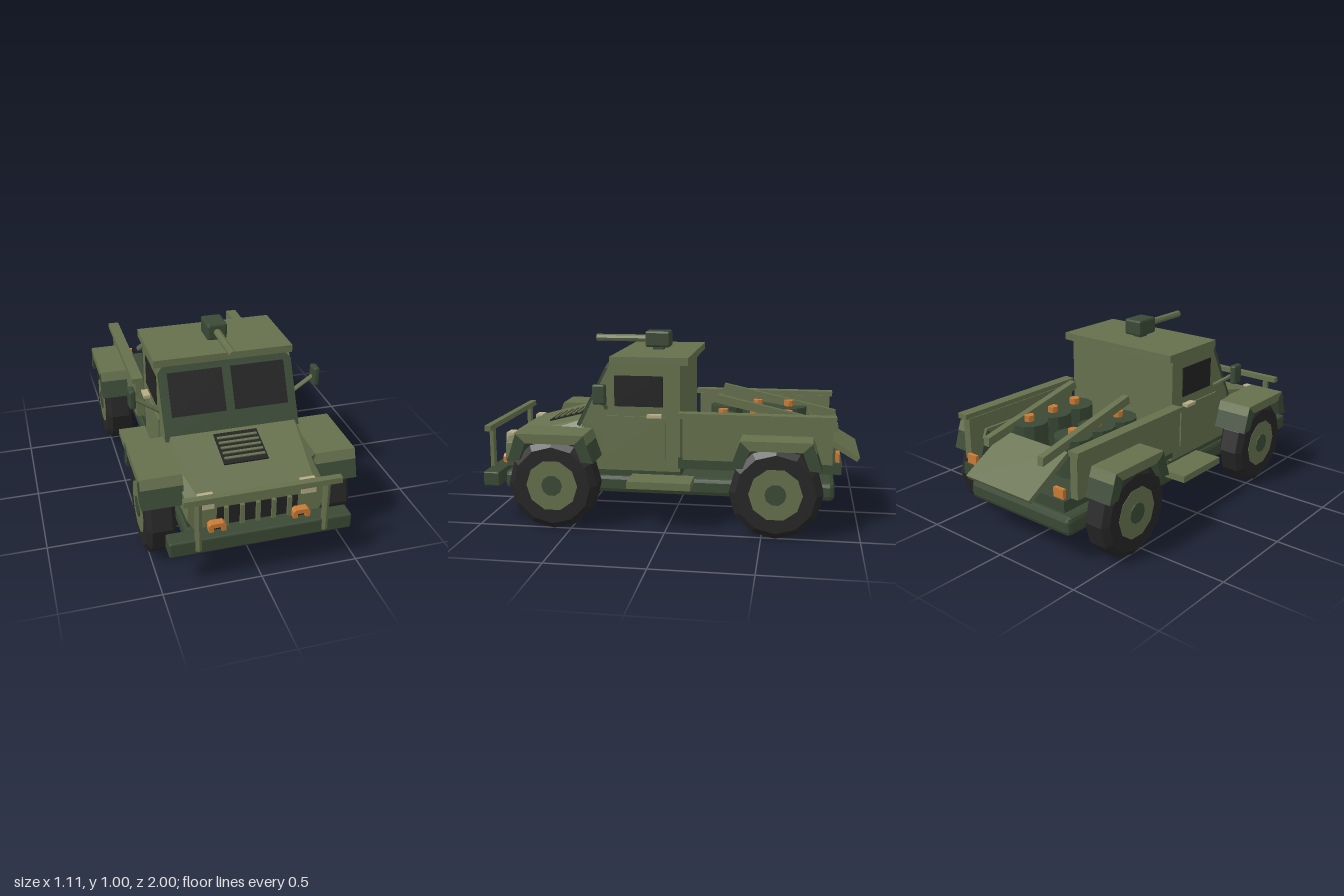
import * as THREE from 'three';
import { RoundedBoxGeometry } from 'three/addons/geometries/RoundedBoxGeometry.js';

export function createModel() {
  const model = new THREE.Group();
  model.name = 'armedPickup';

  const paint = (name, color, side = THREE.FrontSide) =>
    Object.assign(new THREE.MeshStandardMaterial({ color, flatShading: true, side }), { name });
  const olive = paint('olive', 0x66704d);
  const dark = paint('darkGreen', 0x3a4935);
  const black = paint('glassBlack', 0x232324);
  const rubber = paint('rubber', 0x262626);
  const orange = paint('orange', 0xc87a34);
  const cream = paint('cream', 0xb5ad86);

  const add = (name, geo, mat, x = 0, y = 0, z = 0, parent = model) => {
    const m = new THREE.Mesh(geo, mat);
    m.name = name;
    m.position.set(x, y, z);
    parent.add(m);
    return m;
  };
  // Box given by its limits on each axis, optionally with chamfered edges
  const box = (name, mat, x0, x1, y0, y1, z0, z1, chamfer = 0, parent = model) => {
    const s = [x1 - x0, y1 - y0, z1 - z0];
    const geo = chamfer ? new RoundedBoxGeometry(...s, 1, chamfer) : new THREE.BoxGeometry(...s);
    return add(name, geo, mat, (x0 + x1) / 2, (y0 + y1) / 2, (z0 + z1) / 2, parent);
  };
  // Side profile of [z, y] points, extruded across x
  const profile = (name, mat, pts, x0, x1) => {
    const shape = new THREE.Shape(pts.map((p) => new THREE.Vector2(...p)));
    const geo = new THREE.ExtrudeGeometry(shape, { depth: x1 - x0, bevelEnabled: false });
    return add(name, geo.rotateY(-Math.PI / 2).translate(x1, 0, 0), mat);
  };
  // Round rod between two points
  const rod = (name, mat, a, b, r, sides = 6) => {
    const p = new THREE.Vector3(...a), d = new THREE.Vector3(...b).sub(p);
    const m = add(name, new THREE.CylinderGeometry(r, r, d.length(), sides), mat);
    m.position.copy(p).addScaledVector(d, 0.5);
    m.quaternion.setFromUnitVectors(new THREE.Vector3(0, 1, 0), d.normalize());
    return m;
  };

  // Chassis, bumper and guard
  box('chassis', dark, -0.355, 0.355, 0.16, 0.26, -0.87, 0.91, 0.025);
  box('sill', dark, -0.34, 0.34, 0.25, 0.32, -0.06, 0.85);
  box('frontBumper', dark, -0.46, 0.46, 0.2, 0.28, 0.9, 0.99, 0.008);
  box('guardBar', olive, -0.39, 0.39, 0.485, 0.515, 0.965, 1.0);

  // Nose and hood: two chamfered cross-sections joined
  const section = (z, half) => [
    ...half.map(([x, y]) => [x, y, z]),
    ...[...half].reverse().map(([x, y]) => [-x, y, z]),
  ];
  const back = section(0.46, [[0.33, 0.28], [0.365, 0.34], [0.365, 0.5], [0.335, 0.56]]);
  const front = section(0.9, [[0.32, 0.28], [0.35, 0.33], [0.345, 0.41], [0.29, 0.445]]);
  const n = front.length, faces = [];
  for (let i = 0; i < n; i++) {
    const j = (i + 1) % n;
    faces.push(front[i], back[i], back[j], front[i], back[j], front[j]);
    if (i > 0 && i < n - 1) faces.push(front[0], front[i], front[j], back[0], back[j], back[i]);
  }
  const hoodGeo = new THREE.BufferGeometry();
  hoodGeo.setAttribute('position', new THREE.Float32BufferAttribute(faces.flat(), 3));
  hoodGeo.computeVertexNormals();
  add('hood', hoodGeo, olive);

  // Hood vent lying on the slope
  const vent = new THREE.Group();
  vent.name = 'hoodVent';
  vent.position.set(0, 0.5, 0.617);
  vent.position.y = 0.56 - (0.617 - 0.46) * (0.115 / 0.44) + 0.003;
  vent.rotation.x = Math.atan(0.115 / 0.44);
  model.add(vent);
  box('ventPanel', black, -0.115, 0.115, -0.004, 0.005, -0.105, 0.105, 0, vent);
  for (let i = 0; i < 5; i++) {
    const z = -0.07 + i * 0.035;
    box('ventSlat', olive, -0.105, 0.105, 0, 0.011, z - 0.007, z + 0.007, 0, vent);
  }

  // Grille
  box('grille', black, -0.205, 0.205, 0.285, 0.385, 0.898, 0.905);
  for (let i = -2; i <= 2; i++)
    box('grilleBar', olive, i * 0.08 - 0.011, i * 0.08 + 0.011, 0.28, 0.388, 0.9, 0.918);

  // Cab and roof
  profile('cab', olive, [[-0.06, 0.29], [0.47, 0.29], [0.47, 0.55], [0.305, 0.87], [-0.06, 0.87]], -0.355, 0.355);
  box('roof', olive, -0.372, 0.372, 0.86, 0.9, -0.105, 0.31);

  // Windscreen: dark frame with two panes
  const screen = new THREE.Group();
  screen.name = 'windscreen';
  screen.position.set(0, 0.55, 0.47);
  screen.rotation.x = -Math.atan(0.165 / 0.32);
  model.add(screen);
  const frame = new THREE.Shape(
    [[-0.355, -0.03], [0.355, -0.03], [0.355, 0.32], [0.33, 0.35], [-0.33, 0.35], [-0.355, 0.32]]
      .map((p) => new THREE.Vector2(...p)));
  add('windscreenFrame', new THREE.ExtrudeGeometry(frame, { depth: 0.02, bevelEnabled: false }), dark, 0, 0, -0.005, screen);
  for (const s of [-1, 1])
    add('windscreenPane', new THREE.BoxGeometry(0.287, 0.226, 0.008), black, s * 0.167, 0.203, 0.015, screen);

  // Roof gun
  box('gunHousing', dark, -0.055, 0.055, 0.915, 1.005, 0.04, 0.18, 0.012);
  box('gunMount', dark, -0.025, 0.025, 0.89, 0.93, 0.08, 0.14);
  rod('gunBarrel', olive, [0, 0.96, 0.17], [0, 0.96, 0.465], 0.02, 8);

  // Cargo bed and ramp
  box('bedFloor', dark, -0.358, 0.358, 0.31, 0.37, -0.9, -0.05);
  profile('ramp', olive, [[-1.0, 0.37], [-0.985, 0.348], [-0.73, 0.498], [-0.73, 0.53]], -0.225, 0.225);

  // Ring outline for a tow hook
  const hook = new THREE.Shape();
  [[-0.043, -0.03], [-0.03, -0.043], [0.03, -0.043], [0.043, -0.03], [0.043, 0.03], [0.03, 0.043], [-0.03, 0.043], [-0.043, 0.03]]
    .forEach(([x, y], i) => (i ? hook.lineTo(x, y) : hook.moveTo(x, y)));
  hook.holes.push(new THREE.Path([[-0.02, -0.02], [-0.02, 0.02], [0.02, 0.02], [0.02, -0.02]].map((p) => new THREE.Vector2(...p))));
  const hookGeo = new THREE.ExtrudeGeometry(hook, { depth: 0.04, bevelEnabled: false });

  // Tyre cross-section turned about the axle
  const tyreGeo = new THREE.LatheGeometry(
    [[0.1, -0.075], [0.205, -0.075], [0.238, -0.05], [0.238, 0.05], [0.205, 0.075], [0.1, 0.075]]
      .map((p) => new THREE.Vector2(...p)), 12).rotateZ(Math.PI / 2);
  const disc = (r, depth, sides) => new THREE.CylinderGeometry(r, r, depth, sides).rotateZ(Math.PI / 2);

  // Parts found on both sides
  for (const s of [-1, 1]) {
    const pair = (name, mat, a, b, ...rest) => box(name, mat, Math.min(s * a, s * b), Math.max(s * a, s * b), ...rest);
    const sideProfile = (name, mat, pts, a, b) => profile(name, mat, pts, Math.min(s * a, s * b), Math.max(s * a, s * b));

    rod('guardPost', olive, [s * 0.318, 0.22, 0.982], [s * 0.318, 0.5, 0.982], 0.018);
    pair('headlight', cream, 0.22, 0.297, 0.39, 0.46, 0.87, 0.912);
    add('towHook', hookGeo, orange, s * 0.213, 0.283, 0.91);
    pair('towHookCore', black, 0.19, 0.236, 0.26, 0.306, 0.9, 0.93);

    // Door, window, handle, step, mirror
    pair('door', olive, 0.35, 0.364, 0.355, 0.585, 0.015, 0.35);
    pair('sideWindow', black, 0.354, 0.36, 0.637, 0.8, 0.03, 0.288);
    pair('doorHandle', cream, 0.355, 0.39, 0.583, 0.6, 0.035, 0.11);
    pair('step', olive, 0.34, 0.5, 0.23, 0.268, -0.135, 0.2);
    rod('mirrorArm', olive, [s * 0.35, 0.625, 0.335], [s * 0.485, 0.718, 0.335], 0.012);
    pair('mirror', dark, 0.478, 0.512, 0.67, 0.775, 0.3, 0.37, 0.01);

    // Bed walls, racks, canisters, tail lights
    pair('bedWall', olive, 0.355, 0.4, 0.37, 0.595, -0.85, -0.08);
    pair('bedRail', olive, 0.36, 0.422, 0.592, 0.62, -0.865, -0.06);
    sideProfile('rackBar', olive, [[-0.885, 0.5], [-0.235, 0.642], [-0.245, 0.685], [-0.88, 0.545]], 0.172, 0.21);
    for (const z of [-0.27, -0.44, -0.615]) {
      add('canister', new THREE.CylinderGeometry(0.1, 0.1, 0.2, 12), dark, s * 0.157, 0.468, z);
      add('canisterCap', new THREE.CylinderGeometry(0.027, 0.027, 0.035, 8), orange, s * 0.157, 0.583, z);
    }
    pair('tailLight', orange, 0.277, 0.342, 0.368, 0.42, -0.888, -0.868);

    for (const [z, name] of [[0.59, 'front'], [-0.57, 'rear']]) {
      // Wheel
      add(name + 'Tyre', tyreGeo, rubber, s * 0.455, 0.238, z);
      add(name + 'Hub', disc(0.137, 0.153, 10), olive, s * 0.455, 0.238, z);
      add(name + 'HubCap', disc(0.055, 0.162, 10), dark, s * 0.455, 0.238, z);
      // Fender: flat top with sloping flaps fore and aft
      sideProfile(name + 'FenderTop', olive,
        [[z - 0.2, 0.465], [z + 0.2, 0.465], [z + 0.18, 0.515], [z - 0.18, 0.515]], 0.34, 0.552);
      for (const d of [-1, 1]) {
        const flap = [[0.18, 0.513], [0.13, 0.465], [0.165, 0.375], [0.228, 0.37]].map(([a, y]) => [z + d * a, y]);
        sideProfile(name + 'FenderFlap', dark, flap, 0.34, 0.553);
      }
    }
  }
  return model;
}
